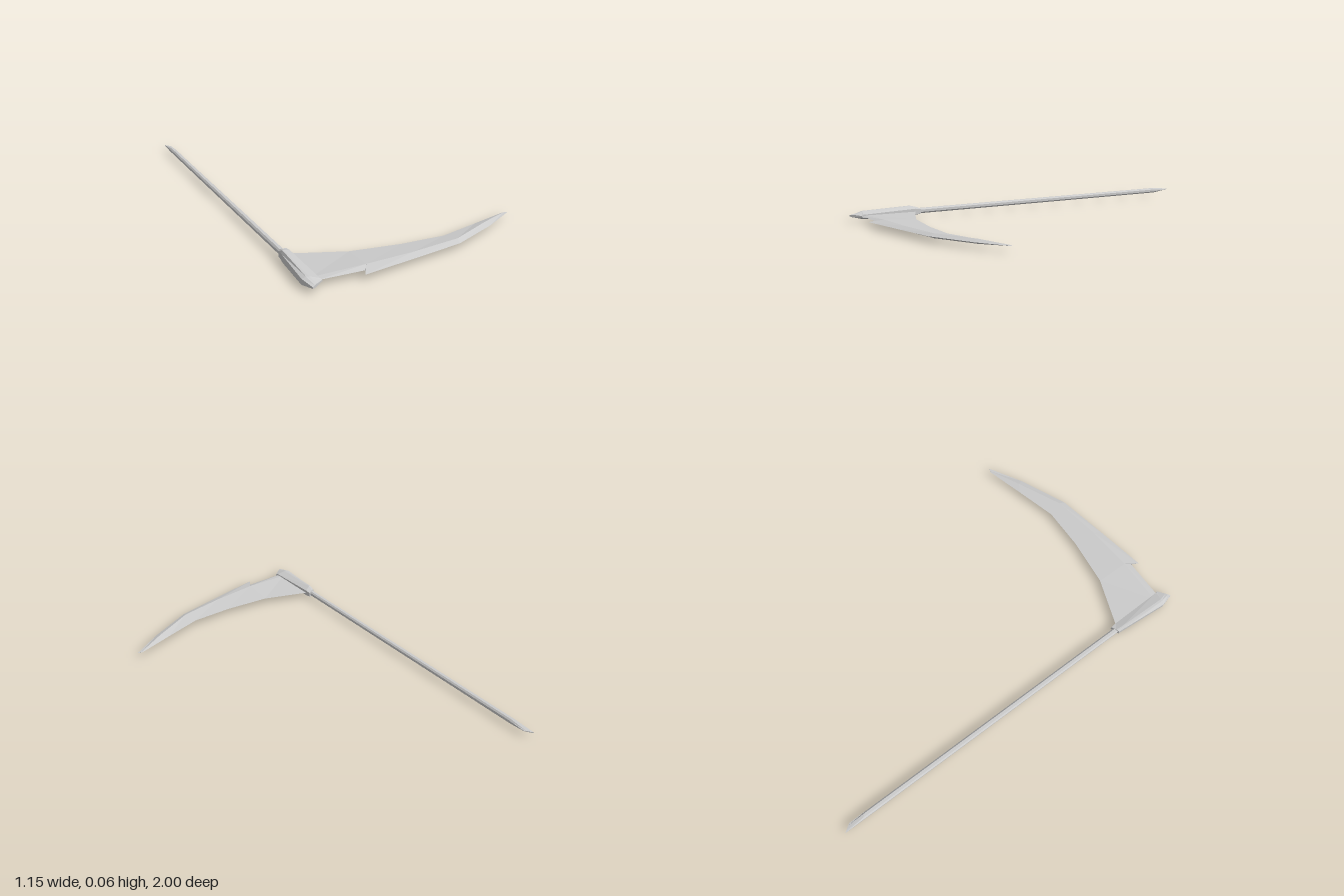
import * as THREE from 'three';

const MID = 0.03; // height of the mirror plane of the whole tool
const material = new THREE.MeshStandardMaterial({ color: 0xcccccc, flatShading: true });

// Skin a row of equal-sized point rings and close both ends.
function loft(name, rings) {
  const pos = [];
  const n = rings[0].length;
  const tri = (a, b, c) => pos.push(...a, ...b, ...c);
  for (let i = 0; i < rings.length - 1; i++) {
    for (let j = 0; j < n; j++) {
      const k = (j + 1) % n;
      const a = rings[i][j], b = rings[i + 1][j], c = rings[i + 1][k], d = rings[i][k];
      tri(a, b, c);
      tri(a, c, d);
    }
  }
  const last = rings[rings.length - 1];
  for (let k = 1; k < n - 1; k++) {
    tri(rings[0][0], rings[0][k], rings[0][k + 1]);
    tri(last[0], last[k + 1], last[k]);
  }
  const geometry = new THREE.BufferGeometry();
  geometry.setAttribute('position', new THREE.Float32BufferAttribute(pos, 3));
  geometry.computeVertexNormals();
  const mesh = new THREE.Mesh(geometry, material);
  mesh.name = name;
  return mesh;
}

// Blade section: sharp outer edge, raised ridge, sharp inner edge ([x, z] each).
const bladeRing = ([inner, ridge, outer, h]) => [
  [outer[0], MID, outer[1]],
  [ridge[0], MID + h, ridge[1]],
  [inner[0], MID, inner[1]],
  [ridge[0], MID - h, ridge[1]],
];

// Six-sided section: side heights hs, crest height hc, slanted from zl to zr.
function barRing({ xl, xr, zl, zr, c0, c1, hl, hc, hr }) {
  const at = (t, h) => [xl + (xr - xl) * t, MID + h, zl + (zr - zl) * t];
  return [at(0, -hl), at(0, hl), at(c0, hc), at(c1, hc), at(1, hr), at(1, -hr), at(c1, -hc), at(c0, -hc)];
}

export function createModel() {
  const group = new THREE.Group();
  group.name = 'scythe';

  // Long shaft, chiselled to a slanted knife edge at the far end
  const shaft = { xl: -0.552, xr: -0.525, c0: 0.25, c1: 0.75 };
  group.add(loft('shaft', [
    { ...shaft, zl: -1.0, zr: -0.96, hl: 0.001, hc: 0.002, hr: 0.001 },
    { ...shaft, zl: -0.9, zr: -0.87, hl: 0.006, hc: 0.013, hr: 0.006 },
    { ...shaft, zl: 0.7, zr: 0.7, hl: 0.006, hc: 0.013, hr: 0.006 },
  ].map(barRing)));

  // Head socket, deepest near the shaft and tapering forward
  group.add(loft('head', [
    { xl: -0.557, xr: -0.515, zl: 0.655, zr: 0.64, c0: 0.25, c1: 0.4, hl: 0.012, hc: 0.018, hr: 0.012 },
    { xl: -0.56, xr: -0.513, zl: 0.69, zr: 0.67, c0: 0.15, c1: 0.3, hl: 0.015, hc: 0.028, hr: 0.015 },
    { xl: -0.58, xr: -0.508, zl: 0.93, zr: 0.945, c0: 0.25, c1: 0.4, hl: 0.013, hc: 0.02, hr: 0.008 },
    { xl: -0.563, xr: -0.503, zl: 0.997, zr: 0.955, c0: 0.2, c1: 0.4, hl: 0.003, hc: 0.006, hr: 0.003 },
  ].map(barRing)));

  // Curved blade with a backward spur where the outer edge begins
  group.add(loft('blade', [
    [[-0.53, 0.665], [-0.53, 0.915], [-0.53, 0.945], 0.003],
    [[-0.285, 0.762], [-0.29, 0.92], [-0.31, 0.95], 0.011],
    [[-0.285, 0.762], [-0.29, 0.92], [-0.33, 0.985], 0.011],
    [[-0.05, 0.794], [-0.06, 0.905], [-0.08, 0.944], 0.011],
    [[0.16, 0.8], [0.18, 0.872], [0.175, 0.9], 0.011],
    [[0.36, 0.748], [0.4, 0.772], [0.41, 0.797], 0.011],
    [[0.55, 0.697], [0.555, 0.7], [0.572, 0.705], 0.001],
  ].map(bladeRing)));

  return group;
}
